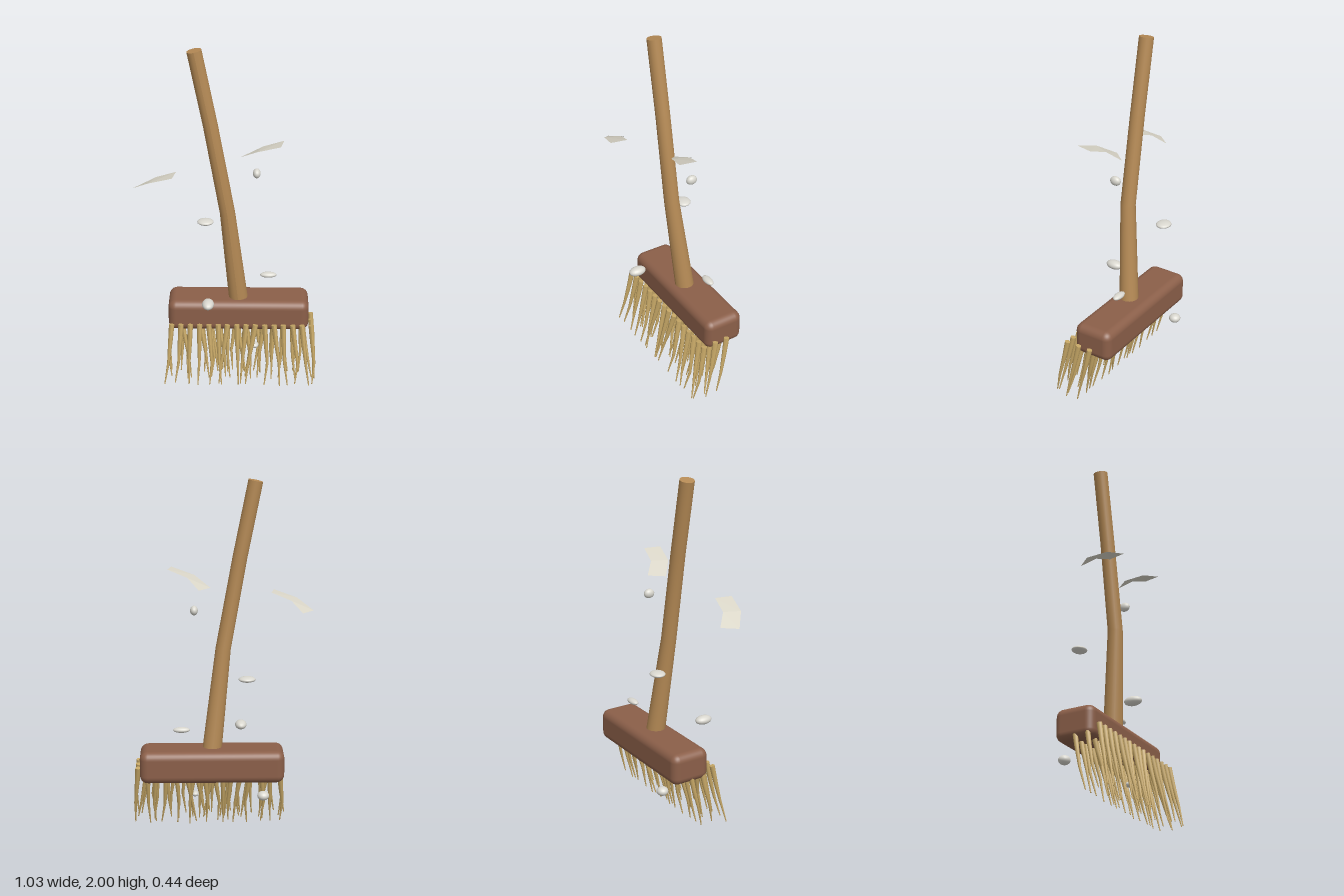
import * as THREE from 'three';
import { RoundedBoxGeometry } from 'three/addons/geometries/RoundedBoxGeometry.js';
import { mergeGeometries } from 'three/addons/utils/BufferGeometryUtils.js';

const material = (name, color) => {
  const m = new THREE.MeshStandardMaterial({ color });
  m.name = name;
  return m;
};

// Capped tube through points listed from bottom to top, one radius per point
function taperedTube(points, radii, sides) {
  const last = points.length - 1;
  const geo = new THREE.CylinderGeometry(1, 1, 1, sides, last);
  const pos = geo.attributes.position;
  const up = new THREE.Vector3(0, 1, 0);
  const turns = points.map((p, i) => {
    const a = points[Math.max(i - 1, 0)], b = points[Math.min(i + 1, last)];
    return new THREE.Quaternion().setFromUnitVectors(up, b.clone().sub(a).normalize());
  });
  const v = new THREE.Vector3();
  for (let k = 0; k < pos.count; k++) {
    v.fromBufferAttribute(pos, k);
    const i = Math.round((v.y + 0.5) * last);
    v.y = 0;
    v.multiplyScalar(radii[i]).applyQuaternion(turns[i]).add(points[i]);
    pos.setXYZ(k, v.x, v.y, v.z);
  }
  geo.computeVertexNormals();
  return geo;
}

// Seeded random value between -1 and 1
let seed = 11;
const rand = () => {
  seed = (seed * 16807) % 2147483647;
  return (seed / 2147483647) * 2 - 1;
};

export function createModel() {
  const group = new THREE.Group();
  const V = (x, y, z) => new THREE.Vector3(x, y, z);
  const headWood = material('dark wood', 0x8b5f49);
  const handleWood = material('light wood', 0xb58a55);
  const straw = material('straw', 0xc6a766);
  const stone = material('pale stone', 0xd9d7cf);
  const paper = material('paper', 0xd8d4c6);
  paper.side = THREE.DoubleSide;

  const add = (name, geo, mat) => {
    const mesh = new THREE.Mesh(geo, mat);
    mesh.name = name;
    group.add(mesh);
    return mesh;
  };

  // Broom head and bent handle
  add('head', new RoundedBoxGeometry(0.815, 0.185, 0.235, 4, 0.045), headWood)
    .position.set(0.058, 0.397, -0.067);
  add('handle', taperedTube(
    [V(0.063, 0.42, -0.054), V(-0.007, 1.05, 0), V(-0.1, 1.57, 0), V(-0.185, 1.992, 0)],
    [0.056, 0.043, 0.041, 0.041], 20), handleWood);

  // Three rows of curved bristles
  for (let row = 0; row < 3; row++) {
    const bristles = [];
    const z = 0.083 - row * 0.075;
    for (let i = 0; i < 16; i++) {
      const x = -0.328 + i * 0.0538;
      const lean = (i === 0 ? -0.5 : i === 15 ? 0.5 : rand()) * 0.045;
      const tip = V(x + lean + rand() * 0.02, 0.012 + rand() * 0.012, z + 0.075);
      bristles.push(taperedTube(
        [tip, V(x + lean * 0.9, 0.14, z + 0.046), V(x + lean * 0.4, 0.26, z + 0.02), V(x, 0.368, z)],
        [0.003, 0.008, 0.013, 0.016], 8));
    }
    add('bristleRow' + (row + 1), mergeGeometries(bristles), straw);
  }

  // Floating pebbles: centre, then half sizes
  const pebbles = [
    [0.156, 1.275, -0.027, 0.022, 0.027, 0.032],
    [-0.136, 0.913, -0.157, 0.048, 0.016, 0.043],
    [0.23, 0.603, -0.097, 0.048, 0.016, 0.024],
    [-0.114, 0.55, 0.168, 0.034, 0.026, 0.052],
    [-0.229, 0.24, -0.186, 0.034, 0.026, 0.034],
    [0.155, 0.187, 0, 0.022, 0.016, 0.026],
  ];
  pebbles.forEach(([x, y, z, a, b, c], i) => {
    const mesh = add('pebble' + (i + 1), new THREE.SphereGeometry(1, 20, 14), stone);
    mesh.position.set(x, y, z);
    mesh.scale.set(a, b, c);
  });

  // Folded paper scraps: pairs of edge points, back then front
  const scrap = new THREE.BufferGeometry();
  scrap.setAttribute('position', new THREE.Float32BufferAttribute([
    -0.457, 1.242, 0.034, -0.524, 1.242, 0.112,
    -0.395, 1.302, 0.095, -0.434, 1.302, 0.185,
    -0.283, 1.345, 0.12, -0.303, 1.345, 0.216,
  ], 3));
  scrap.setIndex([0, 1, 2, 2, 1, 3, 2, 3, 4, 4, 3, 5]);
  const folded = scrap.toNonIndexed();
  folded.computeVertexNormals();
  add('rightScrap', folded, paper);
  add('leftScrap', folded, paper).position.set(0.586, 0.15, -0.086);

  return group;
}
